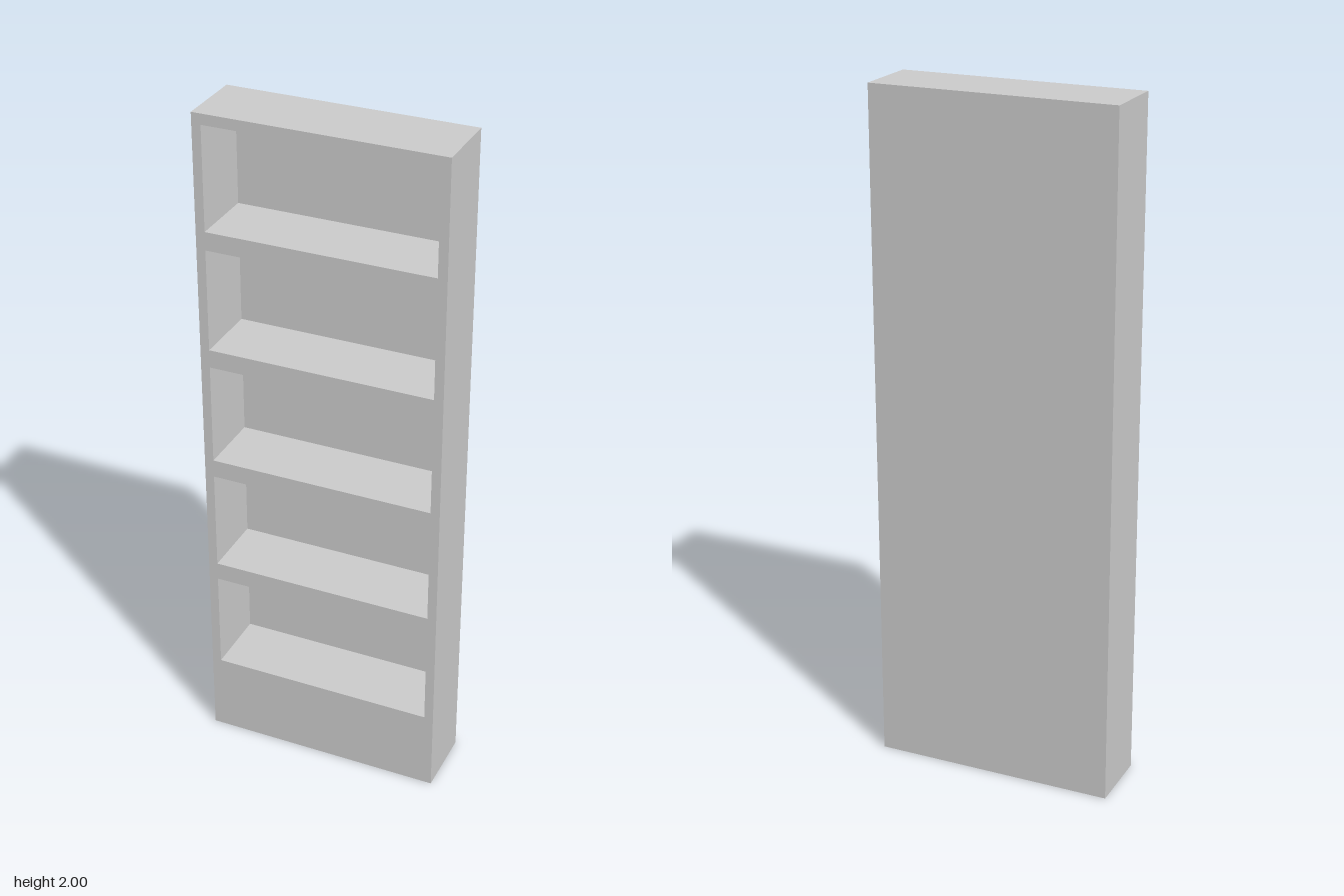
import * as THREE from 'three';

const WIDTH = 0.714, HEIGHT = 2, DEPTH = 0.204;
const BACK = 0.005;                    // back panel thickness
const OPENING_HALF = 0.33, OPENING_HEIGHT = 0.302;
const FIRST_SHELF = 0.243, PITCH = 0.356, COUNT = 5;

// Closed rectangle outline from corner to corner
function rectangle(PathType, x0, y0, x1, y1) {
  return new PathType([[x0, y0], [x1, y0], [x1, y1], [x0, y1]]
    .map(([x, y]) => new THREE.Vector2(x, y)));
}

export function createModel() {
  const group = new THREE.Group();
  group.name = 'bookcase';
  const material = new THREE.MeshStandardMaterial({ color: 0xcccccc, flatShading: true });

  // Sides, top, plinth and shelves as one frame with five open bays
  const outline = rectangle(THREE.Shape, -WIDTH / 2, 0, WIDTH / 2, HEIGHT);
  for (let i = 0; i < COUNT; i++) {
    const y = FIRST_SHELF + i * PITCH;
    outline.holes.push(rectangle(THREE.Path, -OPENING_HALF, y, OPENING_HALF, y + OPENING_HEIGHT));
  }
  const frame = new THREE.Mesh(
    new THREE.ExtrudeGeometry(outline, { depth: DEPTH - BACK, bevelEnabled: false }), material);
  frame.name = 'shelfFrame';
  frame.position.z = -DEPTH / 2 + BACK;
  group.add(frame);

  // Thin panel closing the back
  const back = new THREE.Mesh(new THREE.BoxGeometry(WIDTH, HEIGHT, BACK), material);
  back.name = 'backPanel';
  back.position.set(0, HEIGHT / 2, -DEPTH / 2 + BACK / 2);
  group.add(back);

  return group;
}
